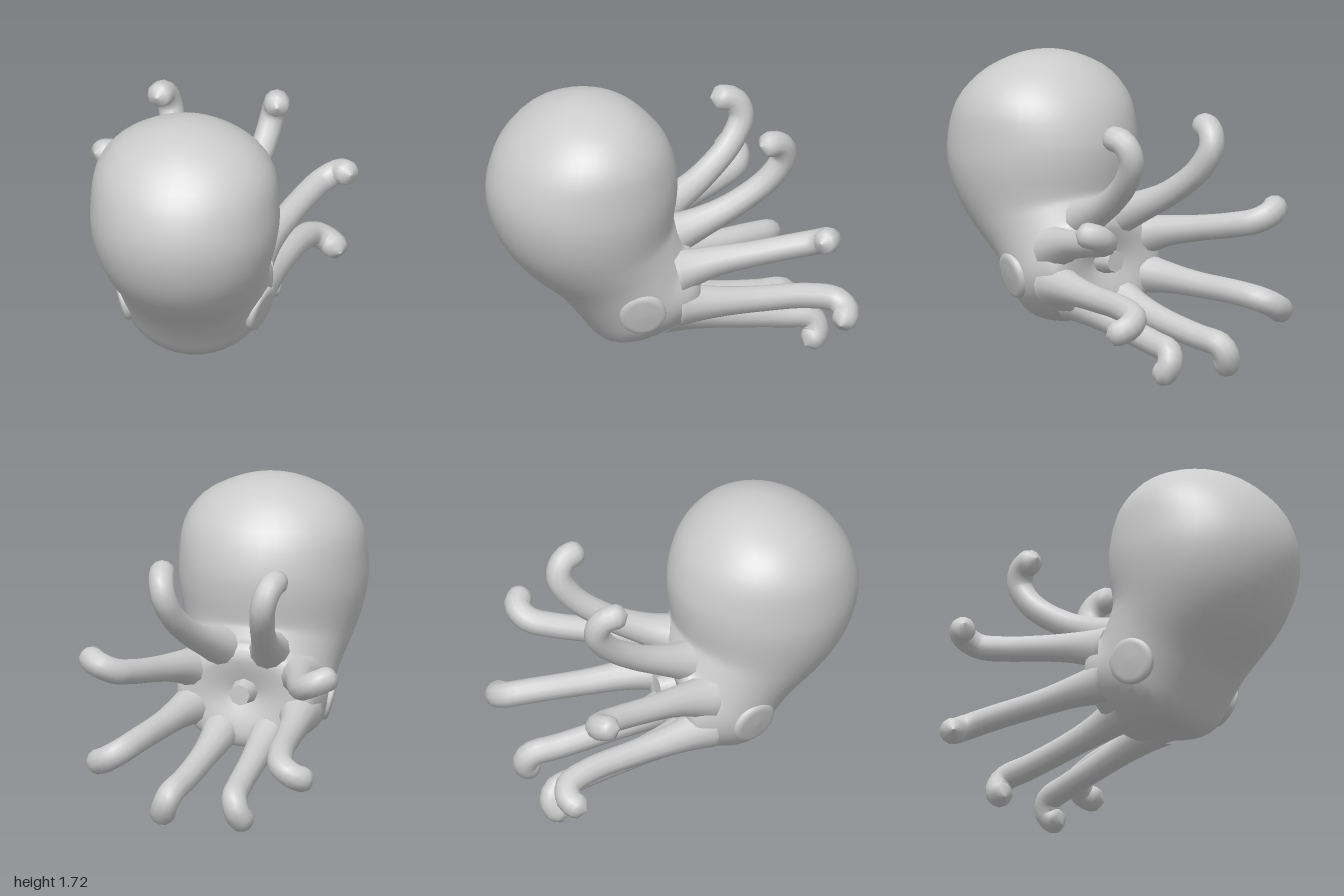
import * as THREE from 'three';

const V = (x, y, z) => new THREE.Vector3(x, y, z);
const material = new THREE.MeshStandardMaterial({ color: 0xcccccc });

// Smooth skin over rings of equal point count, counterclockwise about the direction of travel
function loft(rings) {
  const n = rings[0].length, pos = [], index = [];
  rings.forEach(r => r.forEach(p => pos.push(p.x, p.y, p.z)));
  for (let i = 0; i < rings.length - 1; i++) {
    for (let j = 0; j < n; j++) {
      const a = i * n + j, b = i * n + (j + 1) % n;
      index.push(a, b, a + n, b, b + n, a + n);
    }
  }
  const g = new THREE.BufferGeometry();
  g.setAttribute('position', new THREE.Float32BufferAttribute(pos, 3));
  g.setIndex(index);
  g.computeVertexNormals();
  return g;
}

function ring(center, u, v, sides) {
  return Array.from({ length: sides }, (_, j) => {
    const a = j / sides * Math.PI * 2;
    return center.clone().addScaledVector(u, Math.cos(a)).addScaledVector(v, Math.sin(a));
  });
}

// Head and body: front z, front y, back z, back y, half width of each section
const sections = [
  [0.42, 1.738, 0.42, 1.738, 0.005],
  [0.52, 1.73, 0.32, 1.73, 0.11],
  [0.64, 1.69, 0.20, 1.69, 0.24],
  [0.78, 1.60, 0.08, 1.60, 0.40],
  [0.92, 1.44, -0.03, 1.46, 0.505],
  [0.99, 1.25, -0.085, 1.28, 0.53],
  [0.985, 1.08, -0.085, 1.15, 0.53],
  [0.91, 0.88, -0.07, 1.04, 0.50],
  [0.77, 0.70, -0.065, 0.99, 0.465],
  [0.58, 0.53, -0.075, 0.96, 0.44],
  [0.45, 0.37, -0.085, 0.935, 0.43],
  [0.34, 0.24, -0.095, 0.91, 0.425],
  [0.20, 0.225, -0.10, 0.89, 0.42],
  [0.02, 0.27, -0.11, 0.87, 0.41],
  [-0.10, 0.29, -0.12, 0.85, 0.38],
  [-0.13, 0.38, -0.13, 0.79, 0.28],
  [-0.06, 0.59, -0.06, 0.59, 0.005],
];

function bodyGeometry() {
  const front = new THREE.CatmullRomCurve3(sections.map(s => V(s[4], s[1], s[0])));
  const back = new THREE.CatmullRomCurve3(sections.map(s => V(s[4], s[3], s[2])));
  const steps = (sections.length - 1) * 3, rings = [];
  for (let i = 0; i <= steps; i++) {
    const a = front.getPoint(i / steps), b = back.getPoint(i / steps);
    const w = Math.max(0, (a.x + b.x) / 2);
    a.x = b.x = 0;
    const c = a.clone().add(b).multiplyScalar(0.5);
    rings.push(ring(c, a.sub(c), V(-w, 0, 0), 40));
  }
  return loft(rings);
}

// Tentacle: flared root, slim middle, thicker rounded tip
function tentacleGeometry(points) {
  const curve = new THREE.CatmullRomCurve3(points);
  const steps = 36, tip = 0.072, length = curve.getLength();
  const { normals, binormals } = curve.computeFrenetFrames(steps);
  const rings = [];
  for (let i = 0; i <= steps; i++) {
    const t = i / steps;
    let r = 0.066 + 0.065 * Math.pow(1 - t, 5) + 0.008 * t;
    const left = (1 - t) * length;
    if (left < tip) r *= Math.sqrt(Math.max(0.0001, 1 - (1 - left / tip) ** 2));
    rings.push(ring(curve.getPointAt(t), normals[i].clone().multiplyScalar(r),
      binormals[i].clone().multiplyScalar(r), 12));
  }
  return loft(rings);
}

const tentacles = {
  upperTentacle: [[0.13, 0.84, -0.02], [0.17, 0.91, -0.2], [0.215, 1.01, -0.4], [0.265, 1.16, -0.59],
    [0.295, 1.29, -0.66], [0.32, 1.38, -0.62], [0.345, 1.405, -0.49]],
  highSideTentacle: [[0.30, 0.70, 0], [0.36, 0.75, -0.2], [0.425, 0.785, -0.4], [0.49, 0.82, -0.6],
    [0.56, 0.855, -0.74], [0.65, 0.90, -0.775], [0.735, 0.925, -0.69]],
  lowSideTentacle: [[0.30, 0.50, 0], [0.34, 0.49, -0.2], [0.375, 0.475, -0.45], [0.425, 0.46, -0.75],
    [0.48, 0.43, -0.9], [0.56, 0.385, -0.925], [0.645, 0.345, -0.85]],
  lowerTentacle: [[0.14, 0.39, 0], [0.14, 0.335, -0.2], [0.15, 0.28, -0.45], [0.165, 0.235, -0.7],
    [0.19, 0.20, -0.87], [0.22, 0.12, -0.89], [0.245, 0.055, -0.81]],
};

export function createModel() {
  const model = new THREE.Group();
  model.name = 'octopus';
  const add = (name, geometry) => {
    const mesh = new THREE.Mesh(geometry, material);
    mesh.name = name;
    model.add(mesh);
    return mesh;
  };

  add('body', bodyGeometry());

  // Flat round eye with a softened rim
  const eyeGeometry = new THREE.LatheGeometry(
    [[0.13, -0.05], [0.133, 0.005], [0.125, 0.018], [0.1, 0.024], [0, 0.028]]
      .map(([x, y]) => new THREE.Vector2(x, y)), 28);

  for (const side of [1, -1]) {
    const prefix = side > 0 ? 'left ' : 'right ';
    for (const [name, pts] of Object.entries(tentacles)) {
      add(prefix + name, tentacleGeometry(pts.map(([x, y, z]) => V(side * x, y, z))));
    }
    const eye = add(prefix + 'eye', eyeGeometry);
    eye.position.set(side * 0.392, 0.52, 0.25);
    eye.quaternion.setFromUnitVectors(V(0, 1, 0), V(side * 0.92, -0.25, 0.26).normalize());
  }

  // Beak in the hollow between the tentacles
  const beak = add('beak', new THREE.CylinderGeometry(0.06, 0.085, 0.14, 8));
  beak.rotation.x = -Math.PI / 2;
  beak.position.set(0, 0.61, -0.11);

  return model;
}
